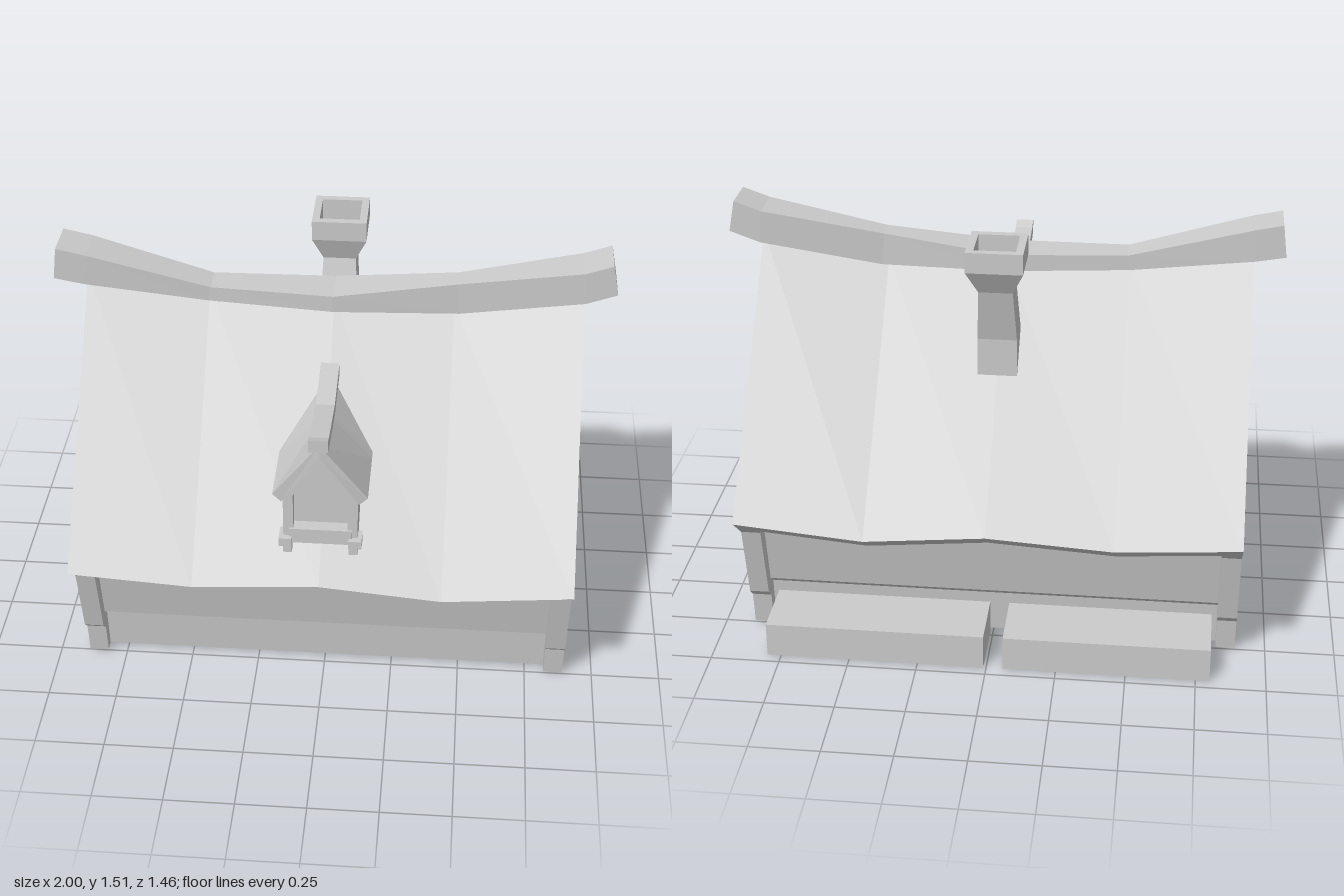
import * as THREE from 'three';

const material = new THREE.MeshStandardMaterial({ color: 0xcccccc, flatShading: true, side: THREE.DoubleSide });

function add(parent, name, geometry) {
  const mesh = new THREE.Mesh(geometry, material);
  mesh.name = name;
  parent.add(mesh);
  return mesh;
}

// Skin a list of matching cross-sections; closed joins the ring, caps fill convex ends.
function loft(sections, closed = false, startCap = false, endCap = false) {
  const out = [];
  const tri = (...pts) => pts.forEach((p) => out.push(...p));
  const n = sections[0].length;
  for (let i = 0; i < sections.length - 1; i++) {
    for (let j = 0; j < (closed ? n : n - 1); j++) {
      const k = (j + 1) % n;
      const [a, b, c, d] = [sections[i][j], sections[i][k], sections[i + 1][k], sections[i + 1][j]];
      tri(a, b, c);
      tri(a, c, d);
    }
  }
  const fan = (r) => { for (let j = 1; j < n - 1; j++) tri(r[0], r[j], r[j + 1]); };
  if (startCap) fan([...sections[0]].reverse());
  if (endCap) fan(sections[sections.length - 1]);
  const g = new THREE.BufferGeometry();
  g.setAttribute('position', new THREE.Float32BufferAttribute(out, 3));
  g.computeVertexNormals();
  return g;
}

const mirror = (half) => [...half.map(([u, y]) => [-u, y]), ...half.slice().reverse()];
const shapeOf = (pts) => new THREE.Shape(pts.map(([u, v]) => new THREE.Vector2(u, v)));

function box(parent, name, x0, x1, y0, y1, z0, z1) {
  const mesh = add(parent, name, new THREE.BoxGeometry(x1 - x0, y1 - y0, z1 - z0));
  mesh.position.set((x0 + x1) / 2, (y0 + y1) / 2, (z0 + z1) / 2);
  return mesh;
}

function buildRoof(house) {
  // Sagging sheet with turned-under eaves: [x, ridge height, eave height]
  const stations = [[-0.89, 1.37, 0.555], [-0.45, 1.31, 0.525], [0, 1.3, 0.553], [0.43, 1.285, 0.513], [0.89, 1.37, 0.555]];
  add(house, 'roof', loft(stations.map(([x, ridge, eave]) => [
    [x, eave + 0.02, -0.56], [x, eave - 0.07, -0.64], [x, eave, -0.73], [x, ridge, 0],
    [x, eave, 0.73], [x, eave - 0.07, 0.64], [x, eave + 0.02, 0.56],
  ])));

  // Ridge beam with upswept ends: [bottom x, top x, bottom, top, half width]
  const beam = [[-1, -0.985, 1.375, 1.495, 0.075], [-0.89, -0.88, 1.355, 1.472, 0.075], [-0.45, -0.44, 1.295, 1.35, 0.053],
    [0, 0, 1.28, 1.343, 0.074], [0.45, 0.44, 1.275, 1.395, 0.043], [0.89, 0.88, 1.355, 1.475, 0.075], [1, 0.978, 1.395, 1.51, 0.075]];
  add(house, 'ridgeBeam', loft(beam.map(([xb, xt, b, t, w]) =>
    [[xb, b, -w], [xt, t, -w], [xt, t, w], [xb, b, w]]), true, true, true));
}

function buildWalls(house) {
  const outer = [[0.505, 0.01], [0.52, 0.135], [0.555, 0.17], [0.62, 0.46], [0.722, 0.55], [0, 1.357]];
  const inner = [[0.435, 0.01], [0.45, 0.22], [0.48, 0.245], [0.54, 0.49], [0.635, 0.56], [0, 1.29]];
  const full = (p) => [...p, ...p.slice(0, -1).reverse().map(([z, y]) => [-z, y])];
  for (const side of [-1, 1]) {
    // Timber frame arch around each gable
    const frame = new THREE.ExtrudeGeometry(shapeOf([...full(outer), ...full(inner).reverse()]), { depth: 0.07, bevelEnabled: false });
    frame.rotateY(-Math.PI / 2).translate(side > 0 ? 0.89 : -0.82, 0, 0);
    add(house, 'gableFrame', frame);
    // Recessed gable wall
    const gable = new THREE.ShapeGeometry(shapeOf(full(inner)));
    gable.rotateY(side * Math.PI / 2).translate(side * 0.825, 0, 0);
    add(house, 'gableWall', gable);
    // Long wall with an overhanging upper band
    const profile = [[0.585, 0.56], [0.515, 0.205], [0.48, 0.175], [0.465, 0.01]];
    add(house, side > 0 ? 'frontWall' : 'backWall',
      loft([-0.83 * side, 0.83 * side].map((x) => profile.map(([z, y]) => [x, y, side * z]))));
  }
}

function buildChimney(house) {
  // Crooked flue, flared cap, then down into the opening: [y, half width, back z, front z]
  const rings = [[0.98, 0.07, -0.315, -0.175], [1.12, 0.07, -0.315, -0.185], [1.32, 0.06, -0.365, -0.245], [1.41, 0.1, -0.415, -0.212],
    [1.485, 0.1, -0.415, -0.212], [1.485, 0.073, -0.388, -0.24], [1.39, 0.073, -0.388, -0.24]];
  add(house, 'chimney', loft(rings.map(([y, w, zb, zf]) =>
    [[-w, y, zf], [w, y, zf], [w, y, zb], [-w, y, zb]]), true, false, true));
}

function buildDormer(house) {
  const dormer = new THREE.Group();
  dormer.name = 'dormer';
  house.add(dormer);

  // Window wall with its opening, and the recessed pane
  const wall = shapeOf(mirror([[0.13, 0.68], [0.13, 0.89], [0, 1.065]]));
  const opening = [[0.095, 0.74], [0.095, 0.885], [0, 1.035]];
  wall.holes.push(shapeOf(mirror(opening)));
  add(dormer, 'dormerWalls', new THREE.ExtrudeGeometry(wall, { depth: 0.4, bevelEnabled: false }).translate(0, 0, 0.245));
  add(dormer, 'windowPane', new THREE.ShapeGeometry(shapeOf(mirror(opening))).translate(0, 0, 0.605));

  // Pitched roof whose ridge sags toward the middle: [ridge z, eave z, ridge height]
  const ring = ([zr, ze, h]) => [[-0.165, 0.895, ze], [0, h, zr], [0.165, 0.895, ze],
    [0.135, 0.865, ze], [0, h - 0.045, zr], [-0.135, 0.865, ze]];
  const rings = [[0.675, 0.655, 1.12], [0.42, 0.42, 1.085], [0.2, 0.36, 1.1]].map(ring);
  add(dormer, 'dormerRoof', loft(rings, true));
  const f = rings[0];
  add(dormer, 'bargeBoard', loft([[f[5], f[4], f[3]], [f[0], f[1], f[2]]]));

  // Curved ridge cap: [z, bottom, top]
  const cap = [[0.72, 1.125, 1.172], [0.675, 1.11, 1.155], [0.42, 1.07, 1.115], [0.2, 1.1, 1.145]];
  add(dormer, 'dormerRidge', loft(cap.map(([z, b, t]) =>
    [[-0.033, b, z], [-0.033, t, z], [0.033, t, z], [0.033, b, z]]), true, true, true));

  // Sill and bracket feet
  box(dormer, 'sill', -0.11, 0.11, 0.695, 0.745, 0.58, 0.652);
  for (const s of [-1, 1]) {
    box(dormer, 'bracket', s * 0.122 - 0.023, s * 0.122 + 0.023, 0.68, 0.712, 0.6, 0.668);
    box(dormer, 'bracketFoot', s * 0.115 - 0.015, s * 0.115 + 0.015, 0.648, 0.682, 0.62, 0.66);
  }
}

function buildSteps(house) {
  // Two low platforms behind the house, open underneath
  for (const [x0, x1] of [[-0.8, -0.06], [0.01, 0.8]]) {
    const g = box(house, 'backStep', x0, x1, 0, 0.13, -0.71, -0.47).geometry;
    const index = Array.from(g.index.array);
    index.splice(18, 6);
    g.setIndex(index);
    g.clearGroups();
  }
}

export function createModel() {
  const house = new THREE.Group();
  house.name = 'cottage';
  buildRoof(house);
  buildWalls(house);
  buildChimney(house);
  buildDormer(house);
  buildSteps(house);
  return house;
}
